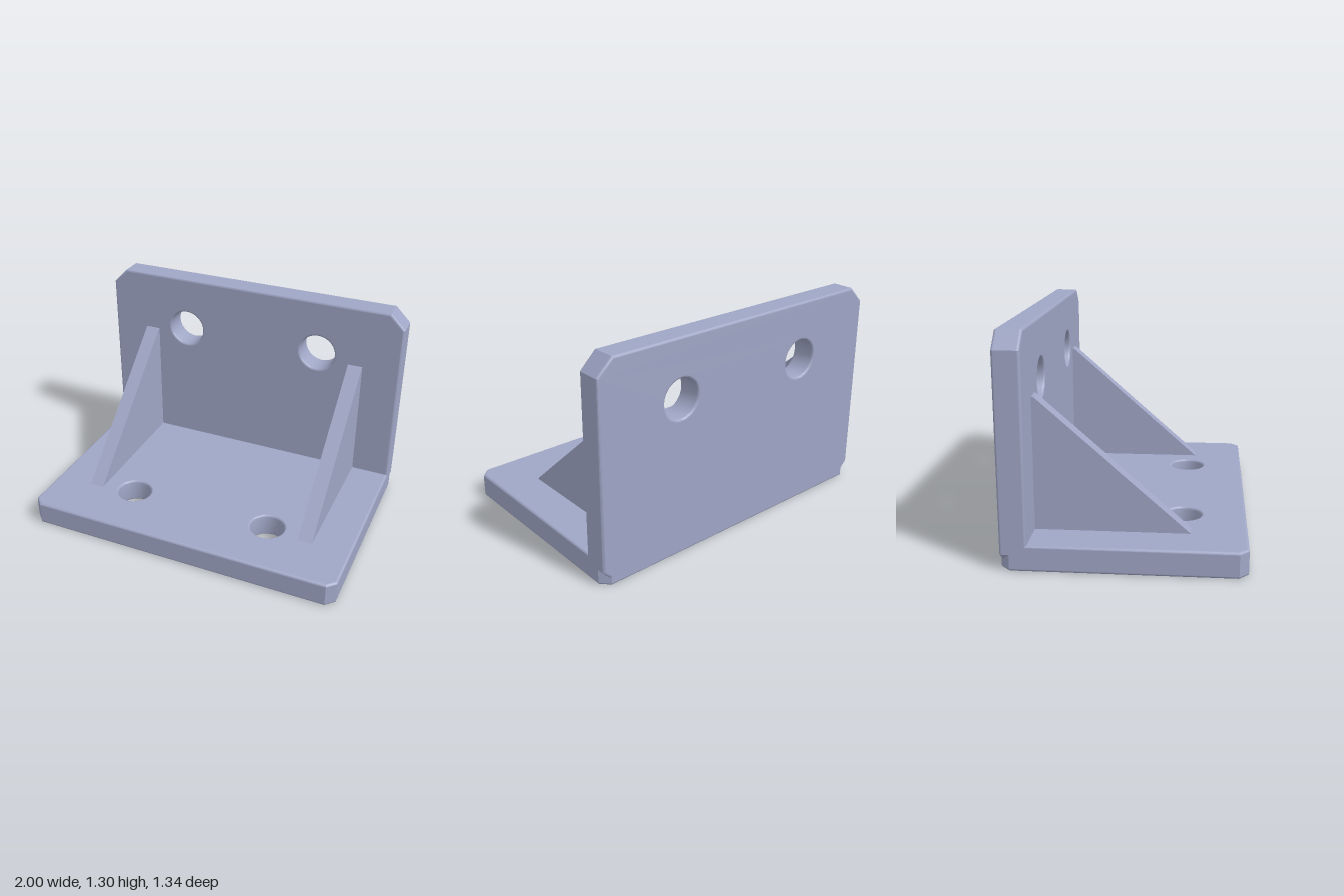
import * as THREE from 'three';
import { toCreasedNormals } from 'three/addons/utils/BufferGeometryUtils.js';

const BEVEL = 0.014;

// Outline from corner points, with round holes
function outline(points, holes = []) {
  const shape = new THREE.Shape(points.map(([x, y]) => new THREE.Vector2(x, y)));
  for (const [x, y, r] of holes) {
    shape.holes.push(new THREE.Path().absarc(x, y, r, 0, Math.PI * 2, true));
  }
  return shape;
}

// Smooth the rounded edges and hole walls, keep the broad faces truly flat
function smoothEdges(geometry) {
  const g = toCreasedNormals(geometry, 0.5);
  const p = g.attributes.position;
  const tri = new THREE.Triangle();
  const n = new THREE.Vector3();
  for (let i = 0; i < p.count; i += 3) {
    tri.setFromAttributeAndIndices(p, i, i + 1, i + 2);
    tri.getNormal(n);
    const cap = Math.abs(n.z) > 0.999;
    const side = Math.abs(n.z) < 0.001 && tri.getArea() > 0.0015;
    if (cap || side) {
      for (let k = 0; k < 3; k++) g.attributes.normal.setXYZ(i + k, n.x, n.y, n.z);
    }
  }
  return g;
}

// Plate with softly rounded edges, filling z = 0..thickness
function plate(shape, thickness) {
  const g = new THREE.ExtrudeGeometry(shape, {
    depth: thickness - 2 * BEVEL, curveSegments: 24, bevelEnabled: true,
    bevelThickness: BEVEL, bevelSize: BEVEL, bevelOffset: -BEVEL, bevelSegments: 4,
  });
  g.translate(0, 0, BEVEL);
  return smoothEdges(g);
}

// Rectangle with its four corners cut at 45 degrees
function chamferedRect(x0, x1, y0, y1, c) {
  return [
    [x0 + c, y0], [x1 - c, y0], [x1, y0 + c], [x1, y1 - c],
    [x1 - c, y1], [x0 + c, y1], [x0, y1 - c], [x0, y0 + c],
  ];
}

export function createModel() {
  const group = new THREE.Group();
  group.name = 'angleBracket';
  const metal = new THREE.MeshStandardMaterial({ color: 0x9fa6c5 });
  metal.name = 'blueGreyMetal';

  const add = (name, geometry) => {
    const mesh = new THREE.Mesh(geometry, metal);
    mesh.name = name;
    group.add(mesh);
    return mesh;
  };

  const W = 1, D = 0.67, H = 1.302, T = 0.15;

  // Base plate, lying flat with two bolt holes
  const base = plate(outline(
    chamferedRect(-W, W, -D, D, 0.052),
    [[-0.46, 0.305, 0.106], [0.46, 0.305, 0.106]],
  ), T);
  base.rotateX(Math.PI / 2).translate(0, T, 0);
  add('basePlate', base);

  // Upright plate at the back with two bolt holes
  const wall = plate(outline(
    chamferedRect(-W, W, 0, H, 0.095),
    [[-0.46, 0.954, 0.116], [0.46, 0.954, 0.116]],
  ), T);
  wall.translate(0, 0, -D);
  add('backPlate', wall);

  // Triangular gussets, sunk slightly into both plates
  const ribWidth = 0.092;
  const ribShape = outline([
    [-0.355, T], [-0.355, T - 0.02], [0.54, T - 0.02], [0.54, 0.914], [0.51, 0.914],
  ]);
  for (const [name, side] of [['leftGusset', 1], ['rightGusset', -1]]) {
    const rib = new THREE.ExtrudeGeometry(ribShape, { depth: ribWidth, bevelEnabled: false });
    rib.translate(0, 0, -ribWidth / 2).rotateY(Math.PI / 2).translate(side * 0.716, 0, 0);
    add(name, rib);
  }
  return group;
}
